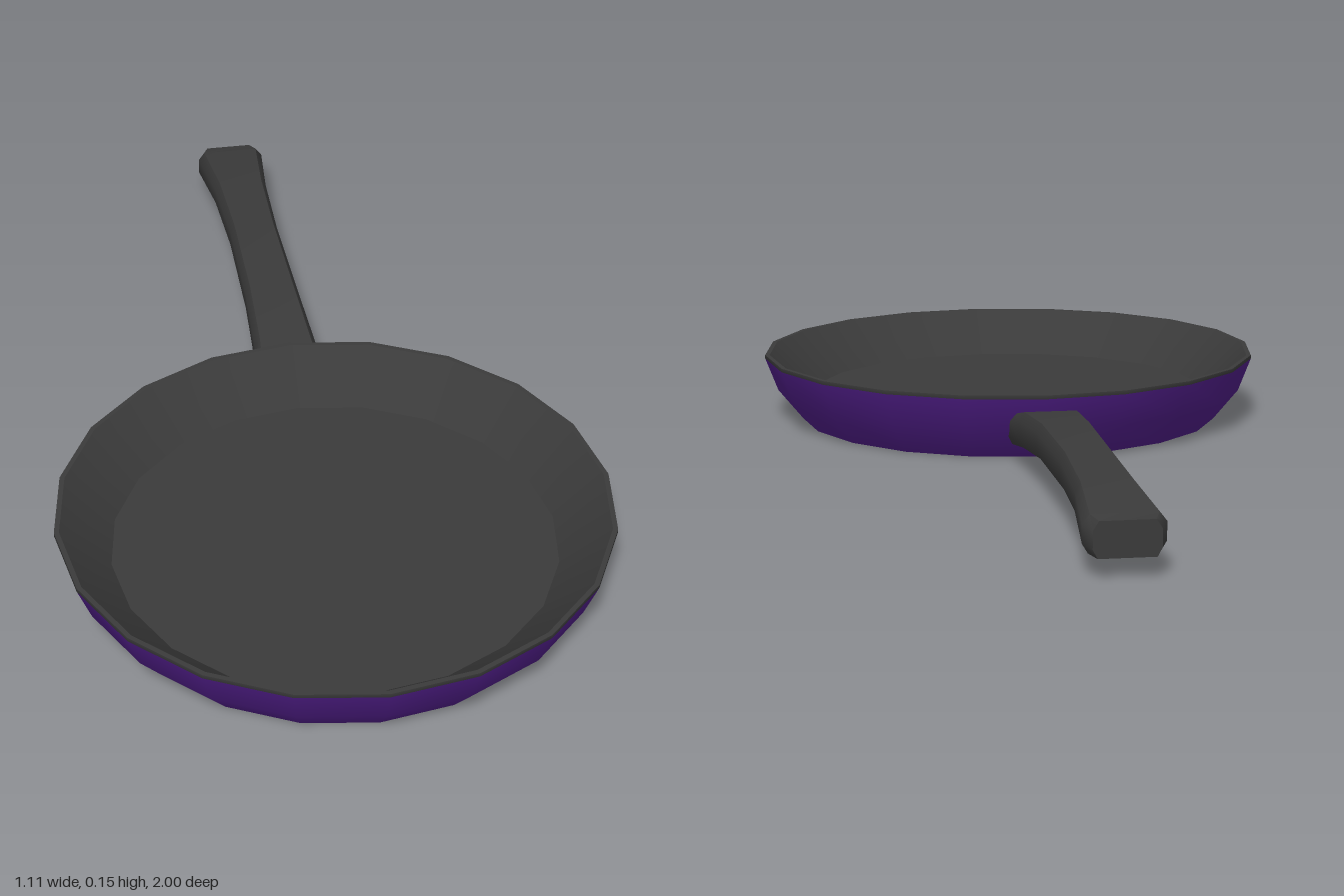
import * as THREE from 'three';
import { toCreasedNormals } from 'three/addons/utils/BufferGeometryUtils.js';

const SIDES = 20;
const PAN_Z = 0.447;

export function createModel() {
  const group = new THREE.Group();
  const dark = new THREE.MeshStandardMaterial({ color: 0x3a3a3a });
  dark.name = 'charcoal';
  const purple = new THREE.MeshStandardMaterial({ color: 0x4e1d85 });
  purple.name = 'purple enamel';

  const add = (name, geometry, material, z = 0) => {
    const mesh = new THREE.Mesh(geometry, material);
    mesh.name = name;
    mesh.position.z = z;
    group.add(mesh);
  };
  const turned = points =>
    new THREE.LatheGeometry(points.map(([r, y]) => new THREE.Vector2(r, y)), SIDES);

  // Outer wall, smooth up into a narrow dark band at the lip
  const wall = turned([[0.47, 0], [0.525, 0.067], [0.553, 0.14], [0.553, 0.148]]);
  for (let i = 0; i < SIDES; i++) {
    wall.addGroup(i * 18, 12, 0);
    wall.addGroup(i * 18 + 12, 6, 1);
  }
  add('outerWall', wall, [purple, dark], PAN_Z);

  // Remaining pan surfaces, kept separate for crisp edges
  add('base', turned([[0, 0], [0.47, 0]]), purple, PAN_Z);
  add('rimTop', turned([[0.553, 0.148], [0.543, 0.148]]), dark, PAN_Z);
  add('innerWall', turned([[0.543, 0.148], [0.445, 0.053]]), dark, PAN_Z);
  add('cookingSurface', turned([[0.445, 0.053], [0, 0.053]]), dark, PAN_Z);

  // Handle stations: z at top, z at bottom, top y, bottom y, half width
  add('handle', handleGeometry([
    [-0.085, -0.04, 0.108, 0.033, 0.073],
    [-0.16, -0.16, 0.126, 0.051, 0.066],
    [-0.34, -0.34, 0.140, 0.068, 0.058],
    [-0.60, -0.60, 0.140, 0.068, 0.054],
    [-0.80, -0.80, 0.130, 0.059, 0.060],
    [-0.97, -0.97, 0.112, 0.041, 0.076],
    [-1.00, -1.00, 0.106, 0.038, 0.062],
  ]), dark);
  return group;
}

// Lofts a bevelled section through the stations and closes the far end
function handleGeometry(stations) {
  const section = [[1, 0.25], [1, 0.75], [0.82, 1], [-0.82, 1],
    [-1, 0.75], [-1, 0.25], [-0.86, 0], [0.86, 0]];
  const n = section.length;
  const positions = [];
  const index = [];
  for (const [zTop, zBottom, top, bottom, w] of stations) {
    for (const [u, v] of section) {
      positions.push(u * w, bottom + (top - bottom) * v, zBottom + (zTop - zBottom) * v);
    }
  }
  for (let i = 0; i < stations.length - 1; i++) {
    for (let j = 0; j < n; j++) {
      const a = i * n + j, b = i * n + (j + 1) % n;
      index.push(a, a + n, b, b, a + n, b + n);
    }
  }
  const last = (stations.length - 1) * n;
  for (let j = 1; j < n - 1; j++) index.push(last, last + j + 1, last + j);
  const geometry = new THREE.BufferGeometry();
  geometry.setAttribute('position', new THREE.Float32BufferAttribute(positions, 3));
  geometry.setIndex(index);
  return toCreasedNormals(geometry, 0.9);
}
